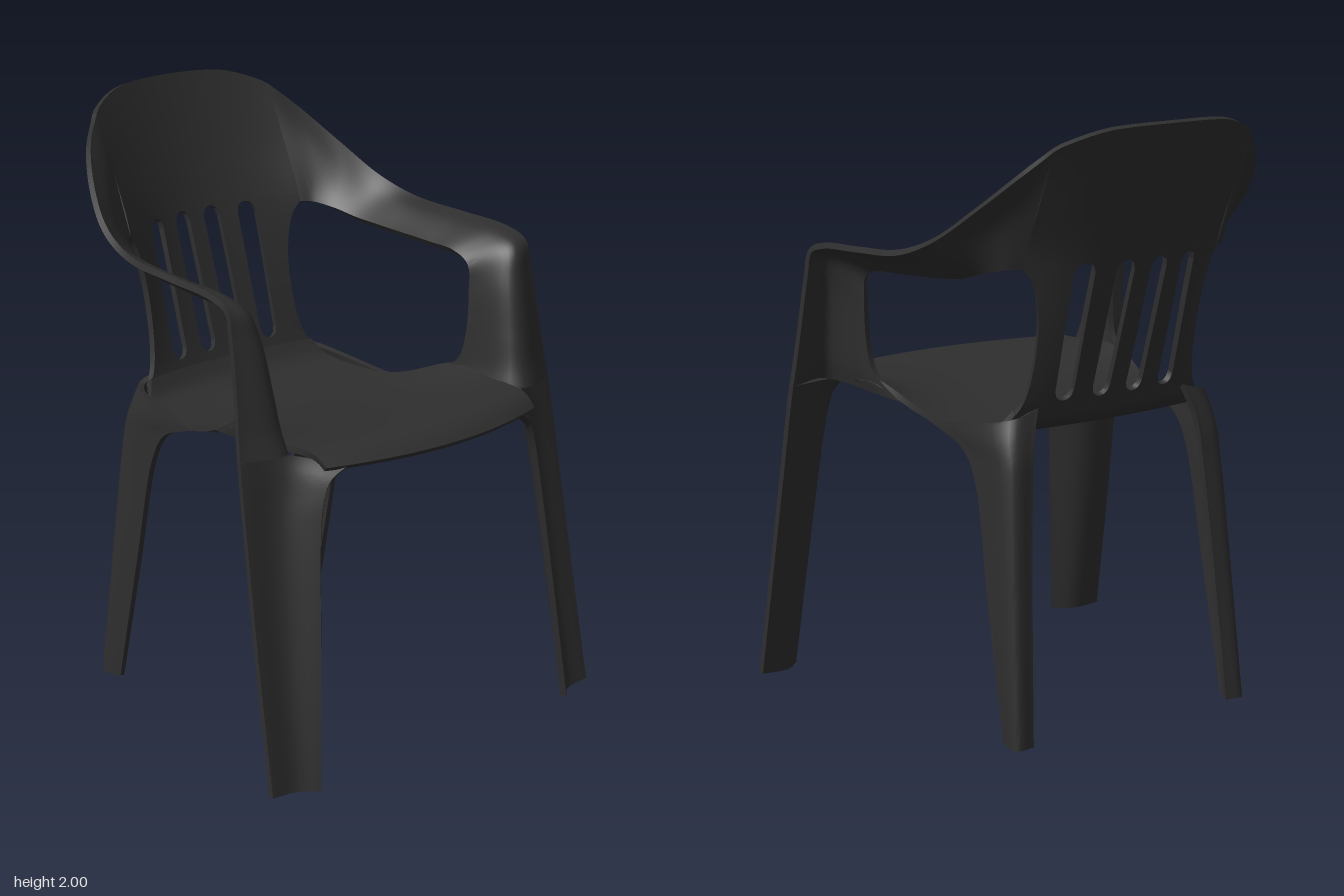
import * as THREE from 'three';
import { mergeGeometries, toCreasedNormals } from 'three/addons/utils/BufferGeometryUtils.js';

const THICK = 0.02;
const material = new THREE.MeshStandardMaterial({ color: 0x2e2e2e });
const V = (x, y, z) => new THREE.Vector3(x, y, z);
const lerp = THREE.MathUtils.lerp;

// Smooth function through [input, output] pairs (cubic Hermite)
function profile(pts) {
  const slope = i => {
    const a = pts[Math.max(i - 1, 0)], b = pts[Math.min(i + 1, pts.length - 1)];
    return (b[1] - a[1]) / (b[0] - a[0]);
  };
  return t => {
    let i = 0;
    while (i < pts.length - 2 && t > pts[i + 1][0]) i++;
    const [x0, y0] = pts[i], [x1, y1] = pts[i + 1], h = x1 - x0;
    const s = THREE.MathUtils.clamp((t - x0) / h, 0, 1), s2 = s * s, s3 = s2 * s;
    return (2 * s3 - 3 * s2 + 1) * y0 + (s3 - 2 * s2 + s) * h * slope(i)
      + (3 * s2 - 2 * s3) * y1 + (s3 - s2) * h * slope(i + 1);
  };
}

// Moulded sheet of even thickness around the surface f(u, v)
function sheet(f, nu, nv) {
  const pos = [], idx = [], row = nu + 1, count = row * (nv + 1), e = 1e-3;
  for (const side of [1, -1]) {
    for (let j = 0; j <= nv; j++) for (let i = 0; i <= nu; i++) {
      const u = i / nu, v = j / nv;
      const du = f(Math.min(u + e, 1), v).sub(f(Math.max(u - e, 0), v));
      const dv = f(u, Math.min(v + e, 1)).sub(f(u, Math.max(v - e, 0)));
      const n = du.cross(dv).normalize();
      pos.push(...f(u, v).addScaledVector(n, side * THICK / 2).toArray());
    }
  }
  for (let j = 0; j < nv; j++) for (let i = 0; i < nu; i++) {
    const a = j * row + i, b = a + 1, c = b + row, d = a + row;
    idx.push(a, b, c, a, c, d);
    idx.push(a + count, c + count, b + count, a + count, d + count, c + count);
  }
  // rim, walked once around the border
  const border = [];
  for (let i = 0; i < nu; i++) border.push(i);
  for (let j = 0; j < nv; j++) border.push(j * row + nu);
  for (let i = nu; i > 0; i--) border.push(nv * row + i);
  for (let j = nv; j > 0; j--) border.push(j * row);
  border.forEach((p, k) => {
    const q = border[(k + 1) % border.length];
    idx.push(p, p + count, q + count, p, q + count, q);
  });
  const g = new THREE.BufferGeometry();
  g.setAttribute('position', new THREE.Float32BufferAttribute(pos, 3));
  g.setIndex(idx);
  return g;
}

// Surface through cross-sections of three points: outer edge, fold, inner edge
function loft(sections, side, nu, nv) {
  const rails = [0, 1, 2].map(k => new THREE.CatmullRomCurve3(
    sections.map(s => V(side * s[k][0], s[k][1], s[k][2]))));
  return sheet((u, v) =>
    new THREE.CatmullRomCurve3(rails.map(r => r.getPoint(u))).getPoint(v), nu, nv);
}

function part(name, geometries) {
  const mesh = new THREE.Mesh(toCreasedNormals(mergeGeometries(geometries), 0.7), material);
  mesh.name = name;
  return mesh;
}

// Backrest surface: leans backwards and curves forward towards the sides
const backLean = profile([[1.05, -0.39], [1.1, -0.41], [1.3, -0.475], [1.55, -0.555], [2, -0.705]]);
const backBend = profile([[1.05, 0.25], [1.1, 0.3], [1.55, 0.8], [1.77, 0.67], [2, 0.5]]);
const onBack = (x, y) => V(x, y, backLean(y) + backBend(y) * x * x);
const backTop = profile([[0, 2], [0.15, 1.997], [0.25, 1.985], [0.36, 1.945], [0.4, 1.915]]);
const backSide = profile([[1.05, 0.37], [1.1, 0.338], [1.2, 0.318], [1.35, 0.316],
  [1.46, 0.335], [1.52, 0.358], [1.545, 0.38], [1.57, 0.38]]);
const LOW = 1.05, SPLIT = 1.57, EDGE = 0.38, SLOT = 0.033;

function backrest() {
  const panel = (x0, x1, lo, hi, nu, nv) => sheet((u, v) => {
    const x = lerp(x0, x1, u);
    return onBack(x, lerp(lo(x), hi(x), v));
  }, nu, nv);
  const low = () => LOW, split = () => SPLIT;
  const list = [
    panel(-EDGE, EDGE, split, x => backTop(Math.abs(x)), 40, 16),
    panel(-0.032, 0.032, low, split, 4, 20),
  ];
  for (const s of [1, -1]) {
    list.push(panel(s * 0.098, s * 0.167, low, split, 4, 20));
    list.push(sheet((u, v) => {
      const y = lerp(LOW, SPLIT, v);
      return onBack(s * lerp(0.233, backSide(y), u), y);
    }, 6, 28));
    // rounded ends of the slots
    for (const c of [0.065, 0.2]) {
      const round = x => 0.035 * (1 - Math.sqrt(Math.max(0, 1 - ((Math.abs(x) - c) / SLOT) ** 2)));
      const a = s * (c - SLOT), b = s * (c + SLOT);
      list.push(panel(a, b, low, x => 1.1 + round(x), 12, 3));
      list.push(panel(a, b, x => 1.56 - round(x), split, 12, 3));
    }
  }
  return part('backrest', list);
}

// Seat: dished, with a rolled front lip and raised side edges
function seat() {
  const width = profile([[-0.395, 0.36], [-0.36, 0.39], [-0.3, 0.418], [-0.15, 0.433], [0, 0.45],
    [0.13, 0.475], [0.27, 0.495], [0.45, 0.495], [0.6, 0.48], [0.69, 0.46]]);
  const height = profile([[-0.395, 1.07], [-0.36, 1.02], [-0.3, 0.995], [-0.1, 0.98], [0, 0.985],
    [0.27, 1.022], [0.45, 1.046], [0.6, 1.056], [0.655, 1.045], [0.69, 1.018]]);
  const rise = profile([[-0.3, 0], [0, 0.02], [0.27, 0.06], [0.5, 0.01], [0.69, 0]]);
  return part('seat', [sheet((u, v) => {
    const s = 1 - 2 * u, z = lerp(-0.395, 0.69, 1 - v), x = s * width(z);
    const back = -0.395 + 0.25 * x * x, front = 0.69 - 0.39 * x * x;
    return V(x, height(z) + rise(z) * s ** 4, lerp(back, front, 1 - v));
  }, 32, 56)]);
}

const start = [backTop(EDGE), 1.74, 1.545].map(y => onBack(EDGE, y).toArray());

// Armrest: from the backrest forward, round the elbow and down to the seat
const armSections = [
  start,
  [[0.46, 1.85, -0.535], [0.45, 1.69, -0.445], [0.42, 1.543, -0.41]],
  [[0.54, 1.74, -0.42], [0.51, 1.63, -0.36], [0.45, 1.528, -0.34]],
  [[0.6, 1.635, -0.28], [0.555, 1.575, -0.26], [0.475, 1.503, -0.25]],
  [[0.63, 1.575, -0.12], [0.575, 1.55, -0.12], [0.49, 1.488, -0.12]],
  [[0.645, 1.555, 0.1], [0.59, 1.535, 0.1], [0.5, 1.473, 0.08]],
  [[0.652, 1.54, 0.29], [0.595, 1.525, 0.29], [0.505, 1.462, 0.2]],
  [[0.654, 1.51, 0.37], [0.585, 1.49, 0.38], [0.506, 1.43, 0.26]],
  [[0.657, 1.42, 0.395], [0.56, 1.4, 0.41], [0.504, 1.35, 0.27]],
  [[0.668, 1.22, 0.43], [0.54, 1.22, 0.448], [0.497, 1.2, 0.268]],
  [[0.676, 1.12, 0.445], [0.53, 1.12, 0.468], [0.49, 1.11, 0.24]],
  [[0.682, 1.05, 0.458], [0.52, 1.05, 0.49], [0.475, 1.035, 0.12]],
];

// Front leg: folded strip whose inner flange sweeps into the seat front
const frontLegSections = [
  [[0.716, 0.01, 0.64], [0.615, 0.004, 0.648], [0.555, 0.004, 0.695]],
  [[0.704, 0.45, 0.56], [0.593, 0.45, 0.573], [0.515, 0.45, 0.65]],
  [[0.692, 0.8, 0.5], [0.57, 0.8, 0.52], [0.482, 0.8, 0.612]],
  [[0.688, 0.92, 0.48], [0.553, 0.92, 0.505], [0.462, 0.92, 0.604]],
  [[0.685, 0.99, 0.468], [0.537, 1, 0.497], [0.438, 0.975, 0.607]],
  [[0.682, 1.05, 0.458], [0.52, 1.05, 0.49], [0.39, 1.012, 0.622]],
];

// Rear leg: front edge, outer corner, inner back edge
const rearLegSections = [
  [[0.443, 0.012, -0.435], [0.455, 0.012, -0.512], [0.395, 0.012, -0.508]],
  [[0.437, 0.45, -0.34], [0.435, 0.45, -0.468], [0.37, 0.45, -0.468]],
  [[0.428, 0.83, -0.26], [0.415, 0.83, -0.43], [0.343, 0.83, -0.433]],
  [[0.43, 0.925, -0.2], [0.408, 0.92, -0.418], [0.332, 0.935, -0.424]],
  [[0.438, 0.968, -0.1], [0.402, 0.98, -0.4], [0.315, 1.01, -0.41]],
  [[0.447, 0.992, -0.02], [0.385, 1.05, -0.378], [0.29, 1.08, -0.392]],
];

export function createModel() {
  const chair = new THREE.Group();
  chair.name = 'chair';
  chair.add(seat(), backrest());
  for (const [name, s] of [['left', 1], ['right', -1]]) {
    chair.add(part(name + 'Armrest', [loft(armSections, s, 88, 16)]));
    chair.add(part(name + 'FrontLeg', [loft(frontLegSections, s, 40, 16)]));
    chair.add(part(name + 'RearLeg', [loft(rearLegSections, s, 40, 16)]));
  }
  return chair;
}
